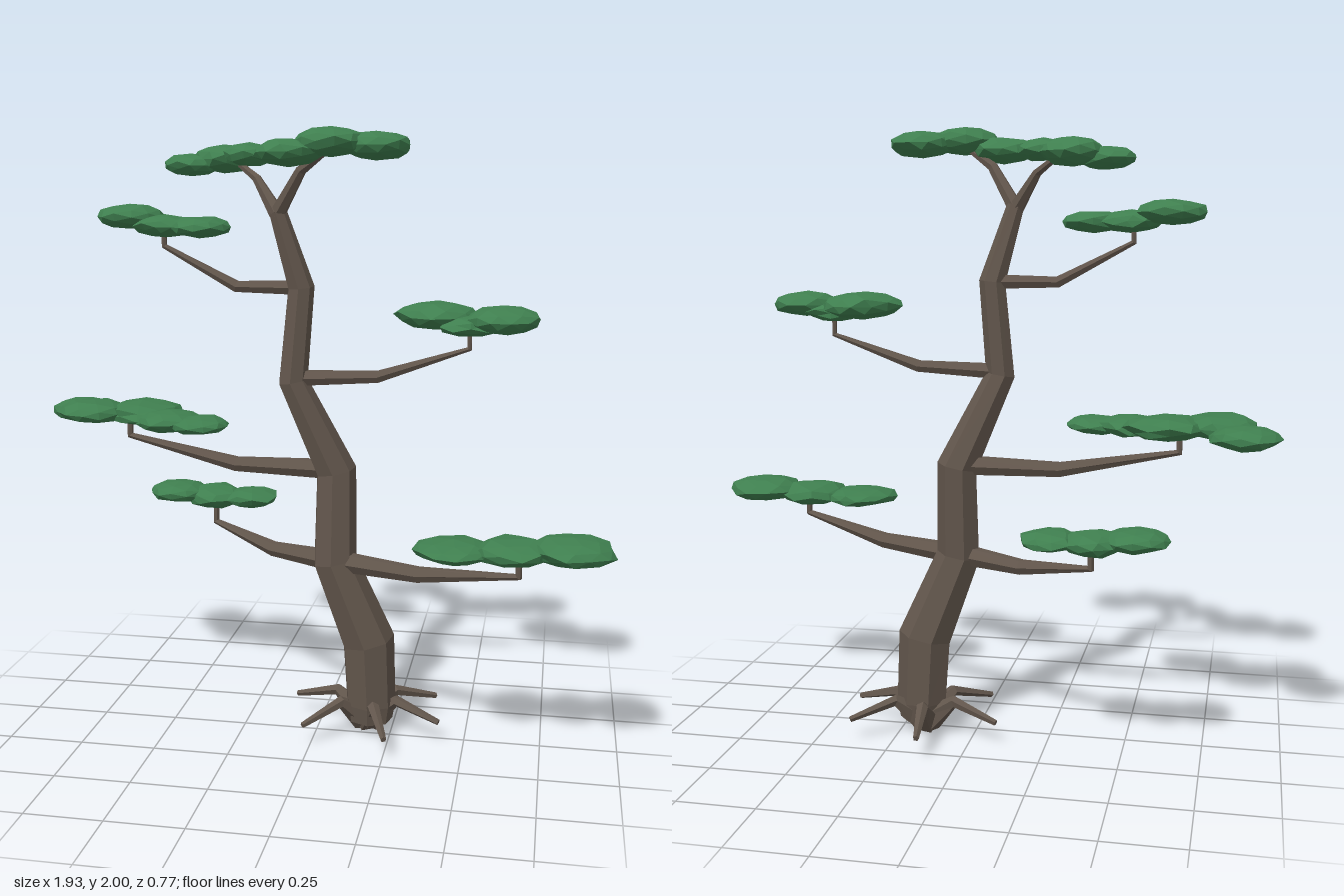
import * as THREE from 'three';

const bark = new THREE.MeshStandardMaterial({ color: 0x62564c, flatShading: true });
const leaf = new THREE.MeshStandardMaterial({ color: 0x3f7f4f, flatShading: true });

// Tapered faceted limb through points [x, y, z, radius], closed at both ends
function limb(name, pts, sides) {
  const P = pts.map(p => new THREE.Vector3(p[0], p[1], p[2]));
  const n = P.length, pos = [], idx = [];
  const dir = i => P[i + 1].clone().sub(P[i]).normalize();
  let prev = dir(0);
  const side = new THREE.Vector3(0, 0, 1);
  side.addScaledVector(prev, -side.dot(prev)).normalize();
  for (let i = 0; i < n; i++) {
    const t = i === 0 ? dir(0) : i === n - 1 ? dir(n - 2) : dir(i - 1).add(dir(i)).normalize();
    side.applyQuaternion(new THREE.Quaternion().setFromUnitVectors(prev, t));
    prev = t;
    const up = t.clone().cross(side);
    for (let j = 0; j < sides; j++) {
      const a = (j / sides) * Math.PI * 2;
      const v = P[i].clone()
        .addScaledVector(side, Math.cos(a) * pts[i][3])
        .addScaledVector(up, Math.sin(a) * pts[i][3]);
      pos.push(v.x, v.y, v.z);
      if (i < n - 1) {
        const k = (j + 1) % sides, b = i * sides;
        idx.push(b + j, b + k, b + sides + k, b + j, b + sides + k, b + sides + j);
      }
    }
  }
  for (let j = 1; j < sides - 1; j++) {
    const e = (n - 1) * sides;
    idx.push(0, j + 1, j, e, e + j, e + j + 1);
  }
  const geo = new THREE.BufferGeometry();
  geo.setAttribute('position', new THREE.Float32BufferAttribute(pos, 3));
  geo.setIndex(idx);
  geo.computeVertexNormals();
  const mesh = new THREE.Mesh(geo, bark);
  mesh.name = name;
  return mesh;
}

// Flattened, slightly irregular leaf clump
function clump([x, y, z, r, h = 0.04], seed) {
  const geo = new THREE.IcosahedronGeometry(1, 1);
  const p = geo.attributes.position, v = new THREE.Vector3();
  for (let i = 0; i < p.count; i++) {
    v.fromBufferAttribute(p, i);
    const w = 1 + 0.09 * Math.sin(v.x * 7 + seed * 2.3) * Math.cos(v.z * 6 + v.y * 5 + seed);
    p.setXYZ(i, v.x * w, v.y * w, v.z * w);
  }
  geo.rotateY(seed * 1.7);
  geo.scale(r, h, r);
  geo.computeVertexNormals();
  const mesh = new THREE.Mesh(geo, leaf);
  mesh.position.set(x, y, z);
  mesh.name = 'leafClump';
  return mesh;
}

// Each bough: limb path and the clumps of its leaf pad [x, y, z, radius, half height]
const boughs = {
  lowerLeft: {
    path: [[0.06, 0.6, 0, 0.036], [0.35, 0.605, 0.12, 0.027], [0.67, 0.66, 0.26, 0.012], [0.67, 0.72, 0.26, 0.01]],
    pad: [[0.47, 0.732, 0.25, 0.125, 0.032], [0.65, 0.738, 0.25, 0.12, 0.04], [0.83, 0.748, 0.25, 0.13, 0.042]]
  },
  lowerRight: {
    path: [[0.05, 0.6, 0, 0.036], [-0.17, 0.595, -0.11, 0.026], [-0.41, 0.64, -0.26, 0.012], [-0.41, 0.71, -0.26, 0.01]],
    pad: [[-0.55, 0.742, -0.28, 0.105, 0.035], [-0.42, 0.728, -0.29, 0.1, 0.04], [-0.285, 0.73, -0.28, 0.095, 0.034]]
  },
  middleRight: {
    path: [[0.06, 0.905, -0.02, 0.035], [-0.28, 0.905, -0.04, 0.026], [-0.66, 0.98, -0.08, 0.012], [-0.66, 1.04, -0.08, 0.01]],
    pad: [[-0.86, 1.047, -0.18, 0.11, 0.038], [-0.78, 1.065, -0.06, 0.12, 0.04], [-0.62, 1.06, -0.1, 0.13, 0.04],
      [-0.5, 1.05, -0.01, 0.11, 0.035], [-0.39, 1.046, 0.02, 0.1, 0.03]]
  },
  upperLeft: {
    path: [[-0.075, 1.21, 0.02, 0.028], [0.2, 1.222, 0.02, 0.021], [0.49, 1.32, 0.03, 0.009], [0.49, 1.4, 0.03, 0.008]],
    pad: [[0.38, 1.42, -0.01, 0.13, 0.045], [0.49, 1.395, 0.05, 0.1, 0.032], [0.595, 1.418, 0.075, 0.115, 0.042]]
  },
  upperRight: {
    path: [[-0.05, 1.5, 0.01, 0.026], [-0.26, 1.5, 0.01, 0.02], [-0.5, 1.625, 0, 0.01], [-0.5, 1.69, 0, 0.009]],
    pad: [[-0.62, 1.718, -0.02, 0.11, 0.04], [-0.49, 1.69, 0.02, 0.1, 0.036], [-0.37, 1.69, 0.05, 0.1, 0.034]]
  },
  topRight: {
    path: [[-0.12, 1.73, 0.035, 0.026], [-0.195, 1.84, -0.01, 0.015], [-0.28, 1.9, -0.05, 0.009]],
    pad: [[-0.42, 1.88, -0.06, 0.09, 0.036], [-0.32, 1.9, -0.09, 0.1, 0.046], [-0.21, 1.912, 0.02, 0.085, 0.036]]
  },
  topLeft: {
    path: [[-0.12, 1.73, 0.035, 0.026], [-0.035, 1.865, 0.08, 0.018], [0.06, 1.93, 0.11, 0.009]],
    pad: [[-0.06, 1.92, 0.145, 0.11, 0.042], [0.07, 1.95, 0.14, 0.11, 0.046], [0.2, 1.94, 0.1, 0.11, 0.044]]
  }
};

export function createModel() {
  const tree = new THREE.Group();
  tree.name = 'tree';

  tree.add(limb('trunk', [
    [0.18, 0.04, -0.03, 0.075], [0.18, 0.1, -0.03, 0.085], [0.17, 0.32, -0.025, 0.09],
    [0.06, 0.6, 0, 0.074], [0.06, 0.9, -0.02, 0.068], [-0.075, 1.2, 0.02, 0.049],
    [-0.05, 1.5, 0.01, 0.044], [-0.12, 1.74, 0.035, 0.029]
  ], 7));

  // Roots arch up from the foot, then run outwards as thin tips
  const roots = new THREE.Group();
  roots.name = 'roots';
  [-163, -97, -33, 18, 70, 135].forEach(deg => {
    const a = deg * Math.PI / 180;
    const at = (d, y, r) => [0.165 + Math.cos(a) * d, y, -0.045 + Math.sin(a) * d, r];
    roots.add(limb('root', [at(0.01, 0.035, 0.048), at(0.11, 0.115, 0.02), at(0.265, 0.07, 0.01)], 5));
  });
  tree.add(roots);

  // Branches with their leaf pads
  let seed = 1;
  for (const [name, { path, pad }] of Object.entries(boughs)) {
    const bough = new THREE.Group();
    bough.name = name + 'Bough';
    bough.add(limb('branch', path, 6));
    pad.forEach(c => bough.add(clump(c, seed++)));
    tree.add(bough);
  }
  return tree;
}
